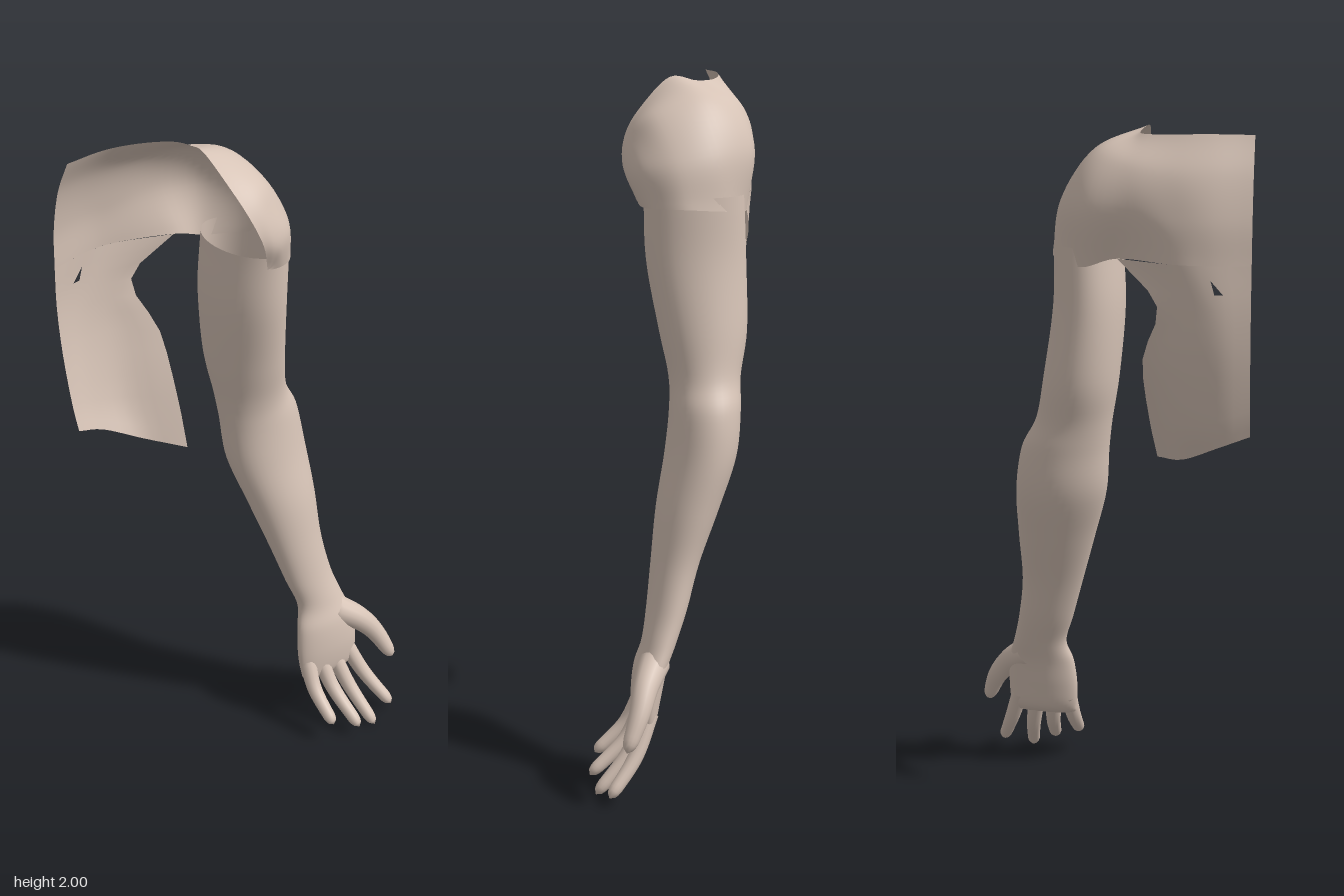
import * as THREE from 'three';
import { mergeVertices } from 'three/addons/utils/BufferGeometryUtils.js';

const skin = new THREE.MeshStandardMaterial({ color: 0xd6c3b6, side: THREE.DoubleSide });
skin.name = 'skin';

const smooth = (geometry) => {
  geometry.deleteAttribute('uv');
  geometry.deleteAttribute('normal');
  const welded = mergeVertices(geometry, 1e-5);
  welded.computeVertexNormals();
  return welded;
};

// Smooth surface through rows of control points; 'hole' names a cell that loses one triangle
function patch(rows, nu, nv, closed = false, hole = null) {
  const across = rows.map((row) => new THREE.CatmullRomCurve3(
    row.map((p) => new THREE.Vector3(...p)), closed, 'catmullrom', 0.5));
  const positions = new Array((nu + 1) * (nv + 1) * 3);
  const index = [];
  for (let i = 0; i <= nu; i++) {
    const u = closed ? (i % nu) / nu : i / nu;
    const down = new THREE.CatmullRomCurve3(across.map((c) => c.getPoint(u)), false, 'catmullrom', 0.5);
    for (let j = 0; j <= nv; j++) {
      down.getPoint(j / nv).toArray(positions, (j * (nu + 1) + i) * 3);
      if (i === nu || j === nv) continue;
      const a = j * (nu + 1) + i, b = a + 1, c = a + nu + 1, d = c + 1;
      index.push(a, c, b);
      if (!(hole && hole[0] === i && hole[1] === j)) index.push(b, c, d);
    }
  }
  const geometry = new THREE.BufferGeometry();
  geometry.setAttribute('position', new THREE.Float32BufferAttribute(positions, 3));
  geometry.setIndex(index);
  return smooth(geometry);
}

// Tapered tube with a rounded tip
function digit(points, r0, r1) {
  const curve = new THREE.CatmullRomCurve3(points.map((p) => new THREE.Vector3(...p)));
  const segments = 24, sides = 14;
  const geometry = new THREE.TubeGeometry(curve, segments, 1, sides);
  const pos = geometry.attributes.position;
  const v = new THREE.Vector3();
  for (let k = 0; k < pos.count; k++) {
    const t = Math.floor(k / (sides + 1)) / segments;
    const tip = Math.max(0, (t - 0.86) / 0.14);
    const r = (r0 + (r1 - r0) * t) * Math.sqrt(Math.max(0, 1 - tip * tip));
    const centre = curve.getPointAt(t);
    v.fromBufferAttribute(pos, k).sub(centre).multiplyScalar(r).add(centre);
    pos.setXYZ(k, v.x, v.y, v.z);
  }
  return smooth(geometry);
}

export function createModel() {
  const model = new THREE.Group();
  model.name = 'armAndBack';
  const add = (name, geometry) => {
    const mesh = new THREE.Mesh(geometry, skin);
    mesh.name = name;
    model.add(mesh);
  };

  // Upper back running round the shoulder to its open front edge
  add('shoulder', patch([
    [[-0.42, 2, -0.23], [-0.3, 2, -0.225], [-0.2, 1.995, -0.2], [-0.12, 1.99, -0.155], [-0.1, 1.99, -0.1],
      [-0.12, 2, -0.03], [-0.11, 1.93, 0.05], [-0.09, 1.85, 0.11], [-0.055, 1.76, 0.13], [-0.01, 1.66, 0.1]],
    [[-0.42, 1.9, -0.275], [-0.3, 1.9, -0.285], [-0.2, 1.9, -0.275], [-0.09, 1.91, -0.24], [0, 1.93, -0.17],
      [0.03, 1.94, -0.07], [0.02, 1.9, 0.05], [-0.02, 1.84, 0.11], [-0.02, 1.75, 0.133], [-0.005, 1.66, 0.1]],
    [[-0.42, 1.78, -0.3], [-0.3, 1.78, -0.315], [-0.2, 1.78, -0.303], [-0.08, 1.8, -0.27], [0.05, 1.8, -0.22],
      [0.12, 1.8, -0.1], [0.12, 1.78, 0.02], [0.07, 1.76, 0.1], [0.02, 1.72, 0.125], [0, 1.66, 0.1]],
    [[-0.42, 1.66, -0.305], [-0.3, 1.66, -0.32], [-0.2, 1.66, -0.305], [-0.05, 1.66, -0.23], [0.05, 1.63, -0.205],
      [0.135, 1.64, -0.12], [0.15, 1.65, 0], [0.1, 1.65, 0.078], [0.05, 1.65, 0.1], [0, 1.655, 0.1]],
  ], 54, 24));

  // Thin flap of the back below the armpit, curling forward, with a small gap
  add('backFlap', patch([
    [[-0.42, 1.66, -0.305], [-0.3, 1.66, -0.32], [-0.2, 1.66, -0.305], [-0.05, 1.66, -0.23]],
    [[-0.42, 1.54, -0.305], [-0.33, 1.54, -0.32], [-0.25, 1.54, -0.31], [-0.165, 1.54, -0.285]],
    [[-0.42, 1.4, -0.29], [-0.33, 1.4, -0.305], [-0.22, 1.4, -0.285], [-0.12, 1.38, -0.22]],
    [[-0.42, 1.25, -0.26], [-0.33, 1.22, -0.265], [-0.23, 1.2, -0.235], [-0.13, 1.2, -0.14]],
    [[-0.42, 1.17, -0.235], [-0.33, 1.135, -0.235], [-0.23, 1.085, -0.18], [-0.15, 1.065, -0.08]],
  ], 12, 12, false, [3, 1]));

  // Arm and palm as rings: height, centre x and z, half width, half depth, slope of z across
  const rings = [
    [1.68, 0.05, -0.05, 0.096, 0.146, 0], [1.5, 0.047, -0.058, 0.102, 0.146, 0],
    [1.3, 0.068, -0.072, 0.108, 0.128, 0], [1.17, 0.09, -0.07, 0.11, 0.103, 0],
    [1.08, 0.117, -0.063, 0.127, 0.1, 0], [0.95, 0.132, -0.045, 0.132, 0.1, 0],
    [0.8, 0.152, 0, 0.113, 0.088, 0], [0.65, 0.171, 0.042, 0.091, 0.068, 0],
    [0.52, 0.197, 0.075, 0.082, 0.056, 0], [0.43, 0.22, 0.105, 0.08, 0.048, 0.05],
    [0.36, 0.22, 0.13, 0.1, 0.046, 0.1], [0.28, 0.218, 0.143, 0.107, 0.042, 0.12],
    [0.21, 0.218, 0.15, 0.103, 0.032, 0.12], [0.18, 0.218, 0.157, 0.09, 0.015, 0.12],
    [0.175, 0.218, 0.157, 0.002, 0.001, 0],
  ];
  add('armAndPalm', patch(rings.map(([y, cx, cz, rx, rz, slope]) =>
    Array.from({ length: 16 }, (_, k) => {
      const a = (-k / 16) * Math.PI * 2;
      const x = rx * Math.cos(a);
      return [cx + x, y, cz + rz * Math.sin(a) + slope * x];
    })), 40, 84, true));

  // Fingers and thumb, each curling forward
  const fingers = {
    littleFinger: [[0.14, 0.24, 0.138], [0.13, 0.16, 0.18], [0.123, 0.075, 0.272]],
    ringFinger: [[0.185, 0.24, 0.142], [0.195, 0.14, 0.195], [0.203, 0.04, 0.308]],
    middleFinger: [[0.235, 0.24, 0.145], [0.258, 0.12, 0.205], [0.274, 0.008, 0.308]],
    indexFinger: [[0.29, 0.24, 0.152], [0.327, 0.13, 0.205], [0.366, 0.03, 0.292]],
  };
  for (const [name, path] of Object.entries(fingers)) add(name, digit(path, 0.026, 0.018));
  add('thumb', digit([[0.26, 0.38, 0.13], [0.325, 0.33, 0.175], [0.37, 0.27, 0.205], [0.408, 0.175, 0.252]], 0.046, 0.019));

  return model;
}
